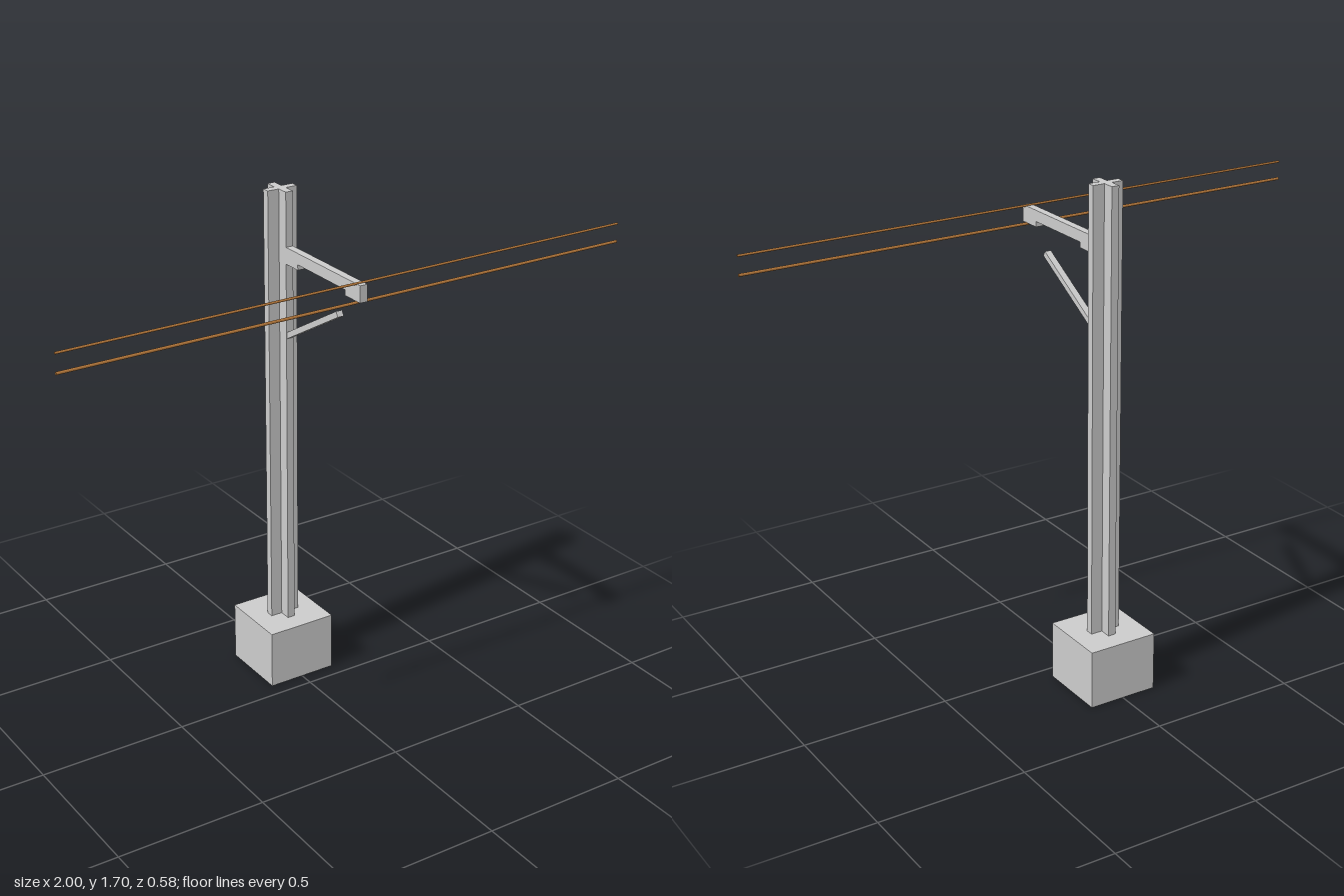
import * as THREE from 'three';

const grey = new THREE.MeshStandardMaterial({ color: 0xcccccc, flatShading: true });
const copper = new THREE.MeshStandardMaterial({ color: 0xb87a3c });

export function createModel() {
  const model = new THREE.Group();
  const postZ = -0.17;

  const add = (name, geometry, x, y, z, material = grey) => {
    const mesh = new THREE.Mesh(geometry, material);
    mesh.name = name;
    mesh.position.set(x, y, z);
    model.add(mesh);
    return mesh;
  };
  const box = (name, w, y0, y1, z0, z1) =>
    add(name, new THREE.BoxGeometry(w, y1 - y0, z1 - z0), 0, (y0 + y1) / 2, (z0 + z1) / 2);

  // Concrete footing
  box('footing', 0.24, 0, 0.2, -0.29, -0.05);

  // Cross-section post
  const r = 0.053, t = 0.013;
  const cross = new THREE.Shape([
    [t, -r], [t, -t], [r, -t], [r, t], [t, t], [t, r],
    [-t, r], [-t, t], [-r, t], [-r, -t], [-t, -t], [-t, -r],
  ].map(([x, y]) => new THREE.Vector2(x, y)));
  const post = add('post', new THREE.ExtrudeGeometry(cross, { depth: 1.5, bevelEnabled: false }), 0, 0.2, postZ);
  post.rotation.x = -Math.PI / 2;

  // Cantilever arm with a pad under each end
  box('arm', 0.026, 1.485, 1.522, -0.12, 0.29);
  box('armRootPad', 0.026, 1.467, 1.485, -0.12, -0.05);
  box('armTipPad', 0.026, 1.467, 1.485, 0.21, 0.29);

  // Sloping brace, free at its outer end
  const low = new THREE.Vector3(0, 1.22, -0.13);
  const high = new THREE.Vector3(0, 1.391, 0.165);
  const brace = add('brace', new THREE.BoxGeometry(0.022, 0.019, low.distanceTo(high)), 0, 0, 0);
  brace.position.copy(low).lerp(high, 0.5);
  brace.lookAt(high);

  // Overhead wires
  for (const [name, y, radius] of [['upperWire', 1.523, 0.004], ['lowerWire', 1.463, 0.005]]) {
    add(name, new THREE.CylinderGeometry(radius, radius, 2, 8), 0, y, 0.27, copper).rotation.z = Math.PI / 2;
  }

  return model;
}
